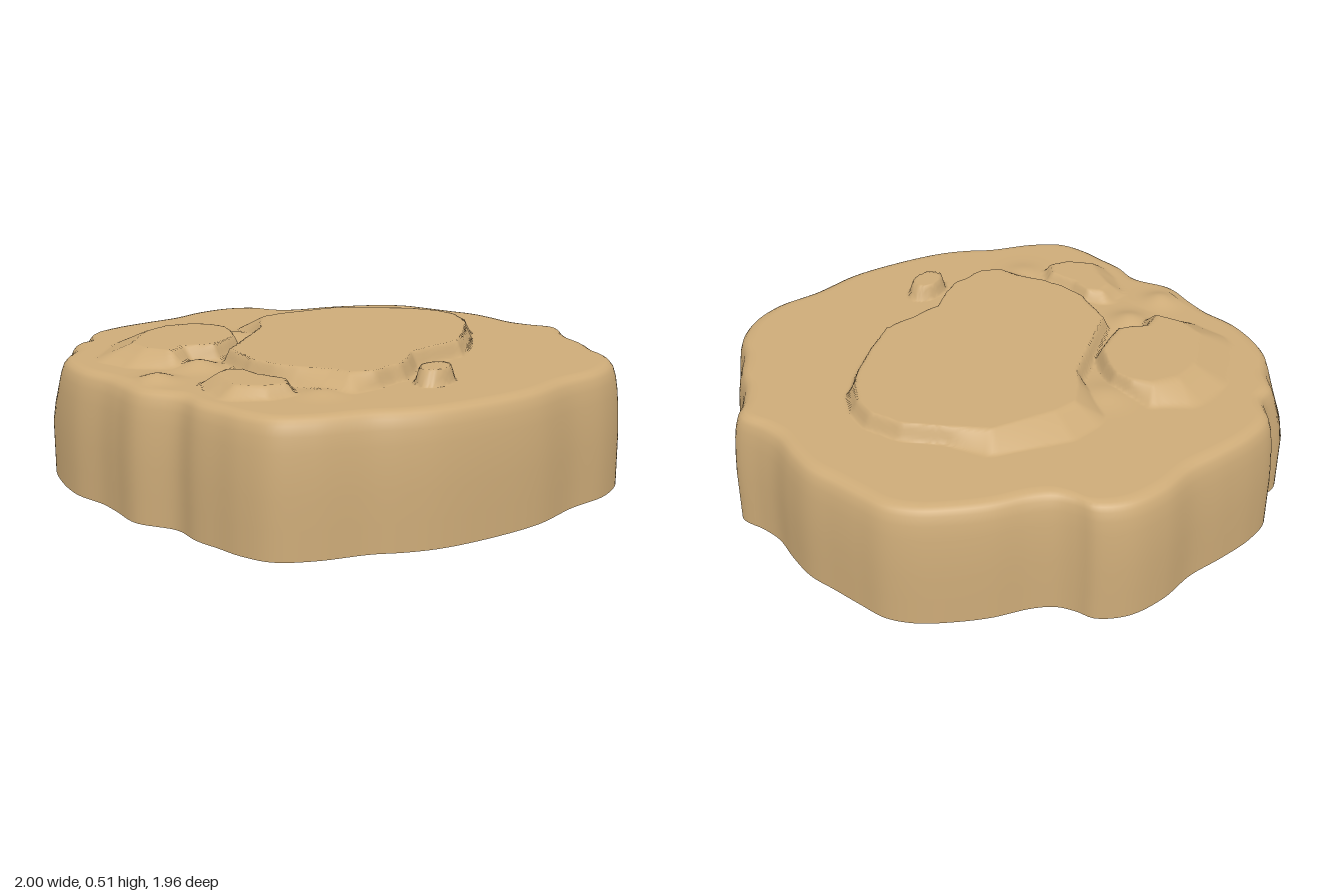
import * as THREE from 'three';

const BASE = 0.458; // height of the flat top
const SEGMENTS = 320, TOP_RINGS = 110;

// Wavy outline seen from above, [x, z], starting at the back and running towards +x
const OUTLINE = [
  [0, -0.98], [0.11, -0.94], [0.15, -0.88], [0.2, -0.83], [0.28, -0.8], [0.42, -0.78], [0.55, -0.74],
  [0.66, -0.69], [0.74, -0.62], [0.79, -0.52], [0.84, -0.41], [0.89, -0.3], [0.91, -0.18], [0.92, -0.06],
  [0.95, 0.02], [1, 0.12], [0.95, 0.22], [0.91, 0.32], [0.89, 0.42], [0.84, 0.54], [0.81, 0.65],
  [0.73, 0.76], [0.6, 0.84], [0.42, 0.88], [0.22, 0.95], [0, 0.975], [-0.2, 0.97], [-0.32, 0.94],
  [-0.42, 0.9], [-0.6, 0.86], [-0.72, 0.8], [-0.78, 0.7], [-0.81, 0.6], [-0.84, 0.5], [-0.85, 0.38],
  [-0.94, 0.24], [-0.95, 0.1], [-0.96, 0], [-1, -0.15], [-0.99, -0.35], [-0.95, -0.5], [-0.87, -0.61],
  [-0.78, -0.65], [-0.71, -0.77], [-0.6, -0.83], [-0.45, -0.87], [-0.3, -0.9], [-0.15, -0.96],
];

// Wall profile with its rounded rim: [inset, y]
const PROFILE = [
  [0, 0], [0, 0.1], [0, 0.2], [0.004, 0.28], [0.01, 0.35], [0.018, 0.4],
  [0.028, 0.432], [0.04, 0.447], [0.055, 0.455], [0.075, BASE],
];

// Raised plateaus: corners are [x, z, width of the slope at that edge]
const S = 0.025;
const MAIN = [
  [0.25, -0.44, 0.08], [0.38, -0.36, S], [0.51, -0.27, S], [0.58, -0.16, S], [0.59, -0.07, S],
  [0.56, 0.04, S], [0.5, 0.13, S], [0.41, 0.24, S], [0.3, 0.35, S], [0.17, 0.385, S], [0.05, 0.42, S],
  [-0.02, 0.5, S], [-0.09, 0.56, S], [-0.14, 0.57, S], [-0.22, 0.605, S], [-0.3, 0.58, 0.08],
  [-0.33, 0.51, 0.1], [-0.41, 0.42, 0.05], [-0.46, 0.34, S], [-0.49, 0.24, S], [-0.48, 0.05, S],
  [-0.2, -0.24, S], [-0.16, -0.32, 0.06], [-0.09, -0.42, 0.11], [0, -0.44, 0.12],
];
const LEFT = [
  [-0.4, -0.44, 0.08], [-0.34, -0.39, S], [-0.315, -0.32, S], [-0.33, -0.24, S], [-0.36, -0.15, S],
  [-0.42, -0.1, S], [-0.49, -0.05, S], [-0.6, -0.08, 0.04], [-0.67, -0.03, 0.06], [-0.73, -0.12, 0.1],
  [-0.74, -0.22, 0.13], [-0.68, -0.3, 0.13], [-0.6, -0.4, 0.13], [-0.5, -0.45, 0.12],
];
const SMALL = [
  [-0.65, 0.3, 0.06], [-0.6, 0.26, 0.05], [-0.55, 0.29, S], [-0.54, 0.38, S], [-0.49, 0.48, S],
  [-0.52, 0.55, S], [-0.6, 0.54, 0.04], [-0.68, 0.48, 0.06], [-0.66, 0.4, 0.08],
];
const PEBBLE = Array.from({ length: 14 }, (_, i) => {
  const a = (i / 14) * Math.PI * 2;
  return [0.07 * Math.cos(a), 0.64 + 0.055 * Math.sin(a) - 0.02 * Math.cos(a), 0.014];
});
const PLATEAUS = [[MAIN, 0.057], [LEFT, 0.057], [SMALL, 0.04], [PEBBLE, 0.055]];

// Soft mounds: [x, z, radius, height]
const MOUNDS = [
  [-0.6, 0.05, 0.07, 0.03], [-0.8, 0.14, 0.06, 0.025], [-0.25, -0.36, 0.08, 0.018], [-0.42, 0.6, 0.07, 0.015],
];

// 1 inside a plateau, falling to 0 across its slope
function plateau(corners, x, z) {
  let inside = false, nearest = Infinity, width = S;
  corners.forEach(([ax, az, aw], i) => {
    const [bx, bz, bw] = corners[(i + 1) % corners.length];
    if (az > z !== bz > z && x < ((bx - ax) * (z - az)) / (bz - az) + ax) inside = !inside;
    const dx = bx - ax, dz = bz - az;
    const t = THREE.MathUtils.clamp(((x - ax) * dx + (z - az) * dz) / (dx * dx + dz * dz), 0, 1);
    const d = Math.hypot(x - ax - t * dx, z - az - t * dz);
    if (d < nearest) {
      nearest = d;
      width = aw + (bw - aw) * t;
    }
  });
  return inside ? 1 : Math.max(0, 1 - nearest / width);
}

function topHeight(x, z) {
  let rise = 0;
  for (const [corners, height] of PLATEAUS) rise = Math.max(rise, height * plateau(corners, x, z));
  for (const [mx, mz, r, h] of MOUNDS) {
    rise = Math.max(rise, h * Math.exp(-((x - mx) ** 2 + (z - mz) ** 2) / (r * r)));
  }
  return BASE + rise;
}

// Hollow shell, open below: wall rings, then rings closing over the sculpted top
function shellGeometry() {
  const curve = new THREE.CatmullRomCurve3(OUTLINE.map(([x, z]) => new THREE.Vector3(x, 0, z)), true);
  const rim = curve.getSpacedPoints(SEGMENTS).slice(0, SEGMENTS);
  const positions = [], index = [];

  const insetPoint = (p, inset, y) => {
    // the rim slopes back further at the rear right bulge
    const bulge = Math.exp(-((p.x + 0.93) ** 2 + (p.z + 0.52) ** 2) / 0.015);
    const extra = 0.05 * bulge * THREE.MathUtils.smoothstep(y, 0.2, BASE);
    const k = 1 - (inset + extra) / Math.hypot(p.x, p.z);
    return [p.x * k, p.z * k];
  };

  for (const [inset, y] of PROFILE) {
    for (const p of rim) {
      const [x, z] = insetPoint(p, inset, y);
      positions.push(x, y, z);
    }
  }
  const edgeInset = PROFILE[PROFILE.length - 1][0];
  for (let r = 1; r <= TOP_RINGS; r++) {
    const t = 1 - r / TOP_RINGS;
    for (const p of rim) {
      const [ex, ez] = insetPoint(p, edgeInset, BASE);
      positions.push(ex * t, topHeight(ex * t, ez * t), ez * t);
    }
  }

  const rows = PROFILE.length + TOP_RINGS;
  for (let r = 0; r < rows - 1; r++) {
    for (let j = 0; j < SEGMENTS; j++) {
      const a = r * SEGMENTS + j, b = r * SEGMENTS + ((j + 1) % SEGMENTS);
      const c = a + SEGMENTS, d = b + SEGMENTS;
      index.push(a, c, b);
      if (r < rows - 2) index.push(b, c, d);
    }
  }

  const geometry = new THREE.BufferGeometry();
  geometry.setAttribute('position', new THREE.Float32BufferAttribute(positions, 3));
  geometry.setIndex(index);
  geometry.computeVertexNormals();
  return geometry;
}

export function createModel() {
  const group = new THREE.Group();
  group.name = 'rockPlateau';
  const sandstone = new THREE.MeshStandardMaterial({ color: 0xcdab78, side: THREE.DoubleSide });
  sandstone.name = 'sandstone';
  const shell = new THREE.Mesh(shellGeometry(), sandstone);
  shell.name = 'rockShell';
  group.add(shell);
  return group;
}
